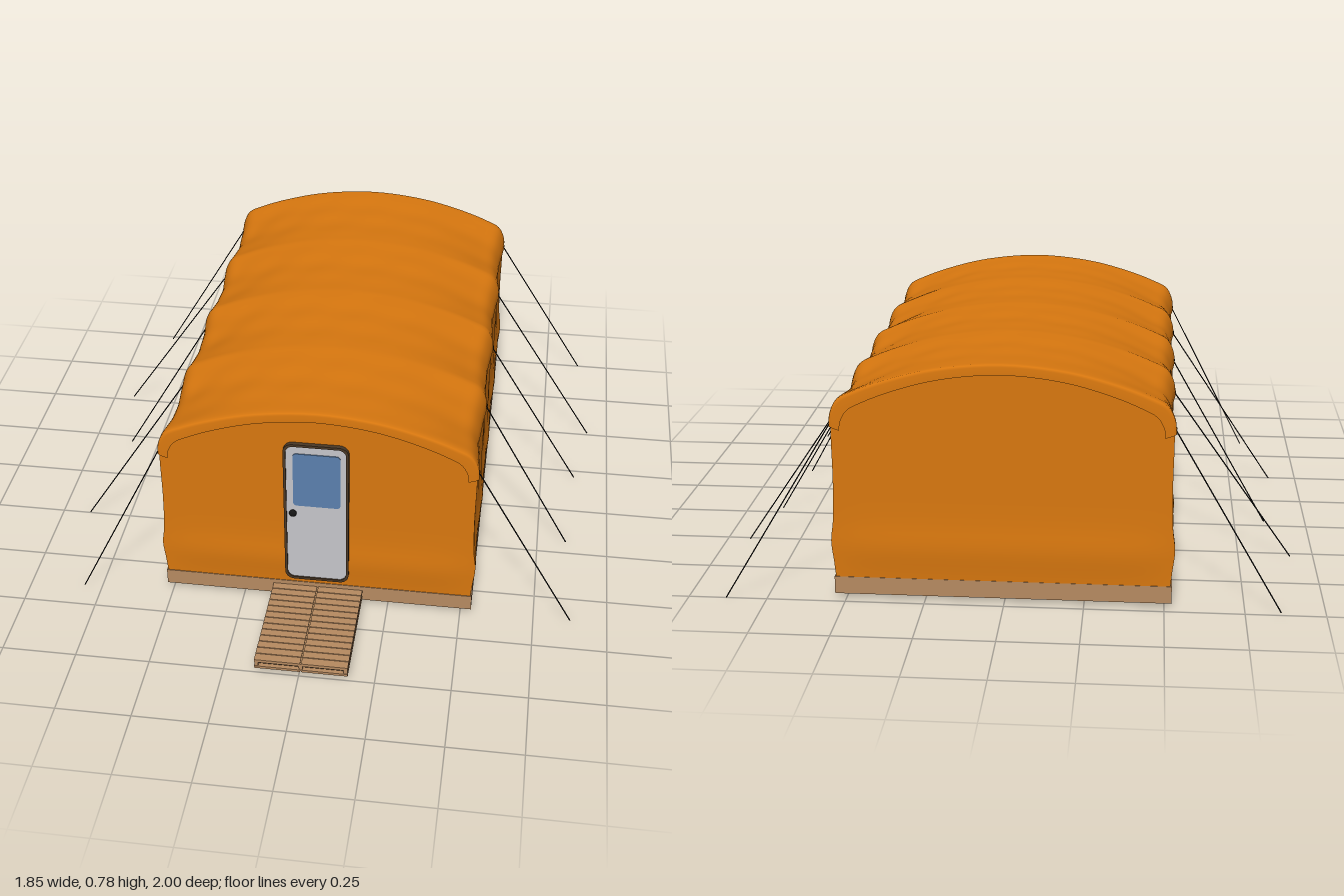
import * as THREE from 'three';

const mat = (name, color, side = THREE.FrontSide) => {
  const m = new THREE.MeshStandardMaterial({ color, side });
  m.name = name;
  return m;
};

// Smooth surface from a rule fn(u, v) -> [x, y, z]; faces point along du x dv
function grid(nu, nv, fn) {
  const pos = [], idx = [];
  for (let j = 0; j <= nv; j++)
    for (let i = 0; i <= nu; i++) pos.push(...fn(i / nu, j / nv));
  for (let j = 0; j < nv; j++)
    for (let i = 0; i < nu; i++) {
      const a = j * (nu + 1) + i, b = a + 1, d = a + nu + 1, c = d + 1;
      idx.push(a, b, c, a, c, d);
    }
  const g = new THREE.BufferGeometry();
  g.setAttribute('position', new THREE.Float32BufferAttribute(pos, 3));
  g.setIndex(idx);
  g.computeVertexNormals();
  return g;
}

function roundedRect(x0, y0, x1, y1, r) {
  const s = new THREE.Shape();
  s.absarc(x1 - r, y0 + r, r, -Math.PI / 2, 0);
  s.absarc(x1 - r, y1 - r, r, 0, Math.PI / 2);
  s.absarc(x0 + r, y1 - r, r, Math.PI / 2, Math.PI);
  s.absarc(x0 + r, y0 + r, r, Math.PI, Math.PI * 1.5);
  s.closePath();
  return s;
}

const CX = 0.007, FRONT = 0.61, BACK = -0.966, RIB0 = 0.59, RIB_STEP = 0.384;

// Half of the tent's cross-section, from the floor to the ridge, then mirrored
const half = [[0.525, 0.065], [0.53, 0.12], [0.537, 0.19], [0.529, 0.26], [0.525, 0.4], [0.526, 0.565],
  [0.522, 0.605], [0.5, 0.648], [0.45, 0.675], [0.35, 0.713], [0.2, 0.752], [0, 0.771]];
const full = [...half, ...half.slice(0, -1).reverse().map(([x, y]) => [-x, y])];
const profile = new THREE.CatmullRomCurve3(full.map(([x, y]) => new THREE.Vector3(x, y, 0)));
const EAVE = 5 / 22;

// Canvas sags between the ribs, most at the shoulders, with small wrinkles
function canvasPoint(s, z, off = 0) {
  const p = profile.getPoint(s);
  const t = (RIB0 - z) / RIB_STEP;
  const sag = t < 0 || t > 4 ? 0 : Math.abs(Math.sin(Math.PI * t));
  const shoulder = Math.exp(-(((Math.abs(p.x) - 0.47) / 0.14) ** 2)) * THREE.MathUtils.smoothstep(p.y, 0.3, 0.65);
  const wrinkle = 0.002 * Math.sin(31 * z + 14 * p.x) * Math.sin(17 * p.x - 9 * z + 5 * p.y);
  const d = off - sag * (0.005 + 0.011 * shoulder + wrinkle);
  const lift = THREE.MathUtils.smoothstep(p.y, 0.5, 0.66);
  return [CX + p.x * (1 + d / 0.53), p.y + d * lift, z];
}

export function createModel() {
  const root = new THREE.Group();
  const orange = mat('orange canvas', 0xd9780f, THREE.DoubleSide);
  const wood = mat('tan wood', 0xb78b61);
  const grey = mat('door grey', 0xc6c6cb);
  const blue = mat('window blue', 0x5b80ae);
  const brown = mat('dark trim', 0x4a3826);
  const black = mat('black rope', 0x141414);

  const add = (name, geo, material, parent = root) => {
    const m = new THREE.Mesh(geo, material);
    m.name = name;
    parent.add(m);
    return m;
  };
  const box = (name, x0, x1, y0, y1, z0, z1, material, parent) => {
    const m = add(name, new THREE.BoxGeometry(x1 - x0, y1 - y0, z1 - z0), material, parent);
    m.position.set((x0 + x1) / 2, (y0 + y1) / 2, (z0 + z1) / 2);
    return m;
  };

  // Floor platform
  box('platform', CX - 0.53, CX + 0.53, 0.013, 0.07, -0.968, 0.613, wood);

  // Canvas body
  add('canvasShell', grid(88, 120, (u, v) => canvasPoint(u, BACK + (FRONT - BACK) * v)), orange);

  // End walls, with a soft bulge near the floor
  for (const [name, z, dir] of [['frontWall', FRONT, 1], ['backWall', BACK, -1]])
    add(name, grid(24, 44, (u, v) => {
      const p = profile.getPoint(v / 2);
      const t = (2 * u - 1) * dir;
      const bulge = 0.007 * Math.exp(-(((p.y - 0.17) / 0.07) ** 2)) * (1 - t ** 8);
      return [CX + t * p.x, p.y, z + dir * bulge];
    }), orange);

  // Roof sheet over the ribs, folded down over both end walls
  const rows = [[BACK - 0.005, -0.028], [BACK - 0.005, -0.003], [BACK - 0.002, 0.004]];
  for (let i = 0; i <= 120; i++) rows.push([BACK + 0.002 + (FRONT - BACK - 0.004) * i / 120, 0.006]);
  rows.push([FRONT + 0.002, 0.004], [FRONT + 0.005, -0.003], [FRONT + 0.005, -0.028]);
  add('roofSheet', grid(60, rows.length - 1, (u, v) => {
    const [z, off] = rows[Math.round(v * (rows.length - 1))];
    return canvasPoint(EAVE + u * (1 - 2 * EAVE), z, off);
  }), orange);

  // Door
  const door = new THREE.Group();
  door.name = 'door';
  root.add(door);
  const plate = (name, shape, z, depth, material) => {
    const m = add(name, new THREE.ExtrudeGeometry(shape, { depth, bevelEnabled: false, curveSegments: 8 }), material, door);
    m.position.z = z;
  };
  const frame = roundedRect(-0.103, 0.092, 0.115, 0.658, 0.032);
  frame.holes.push(roundedRect(-0.094, 0.101, 0.106, 0.649, 0.025));
  plate('doorFrame', frame, 0.605, 0.02, brown);
  plate('doorPanel', roundedRect(-0.096, 0.099, 0.108, 0.651, 0.026), 0.605, 0.015, grey);
  plate('doorWindow', roundedRect(-0.071, 0.408, 0.087, 0.62, 0.012), 0.619, 0.004, blue);
  const knob = add('doorKnob', new THREE.SphereGeometry(0.013, 16, 12), black, door);
  knob.position.set(-0.073, 0.376, 0.624);
  knob.scale.z = 0.7;

  // Slatted entrance deck: two columns of planks on stringers
  const deck = new THREE.Group();
  deck.name = 'entranceDeck';
  root.add(deck);
  const x0 = -0.147, x1 = 0.162, n = 13, z0 = 0.613, pitch = (1 - z0) / n;
  for (let i = 0; i < n; i++) {
    const a = z0 + i * pitch, b = a + pitch - (i < n - 1 ? 0.003 : 0);
    for (const [l, r] of [[x0, CX - 0.002], [CX + 0.002, x1]]) {
      box('topPlank', l, r, 0.043, 0.054, a, b, wood, deck);
      box('bottomPlank', l, r, 0.018, 0.027, a, b, wood, deck);
    }
  }
  for (const x of [x0 + 0.001, CX - 0.006, x1 - 0.013])
    box('stringer', x, x + 0.012, 0.02, 0.05, z0, 0.998, wood, deck);
  box('deckCore', x0 + 0.004, x1 - 0.004, 0.026, 0.0445, z0, 0.985, brown, deck);

  // Guy ropes from the eaves to the ground: [start z, end x, end z]
  const ropes = [
    [-0.945, 0.88, -1], [-0.56, 0.923, -0.51], [-0.18, 0.875, -0.21], [0.2, 0.852, 0.187], [0.585, 0.875, 0.61],
    [-0.945, -0.862, -0.982], [-0.56, -0.923, -0.525], [-0.18, -0.855, -0.212], [0.2, -0.9, 0.247], [0.585, -0.812, 0.65]];
  for (const [z, ex, ez] of ropes) {
    const start = new THREE.Vector3(CX + Math.sign(ex) * 0.527, 0.58, z);
    const end = new THREE.Vector3(ex, 0.001, ez);
    add('guyRope', new THREE.TubeGeometry(new THREE.LineCurve3(start, end), 1, 0.0022, 6), black);
    const tab = add('ropeEyelet', new THREE.SphereGeometry(0.007, 10, 8), black);
    tab.position.copy(start);
  }
  return root;
}
